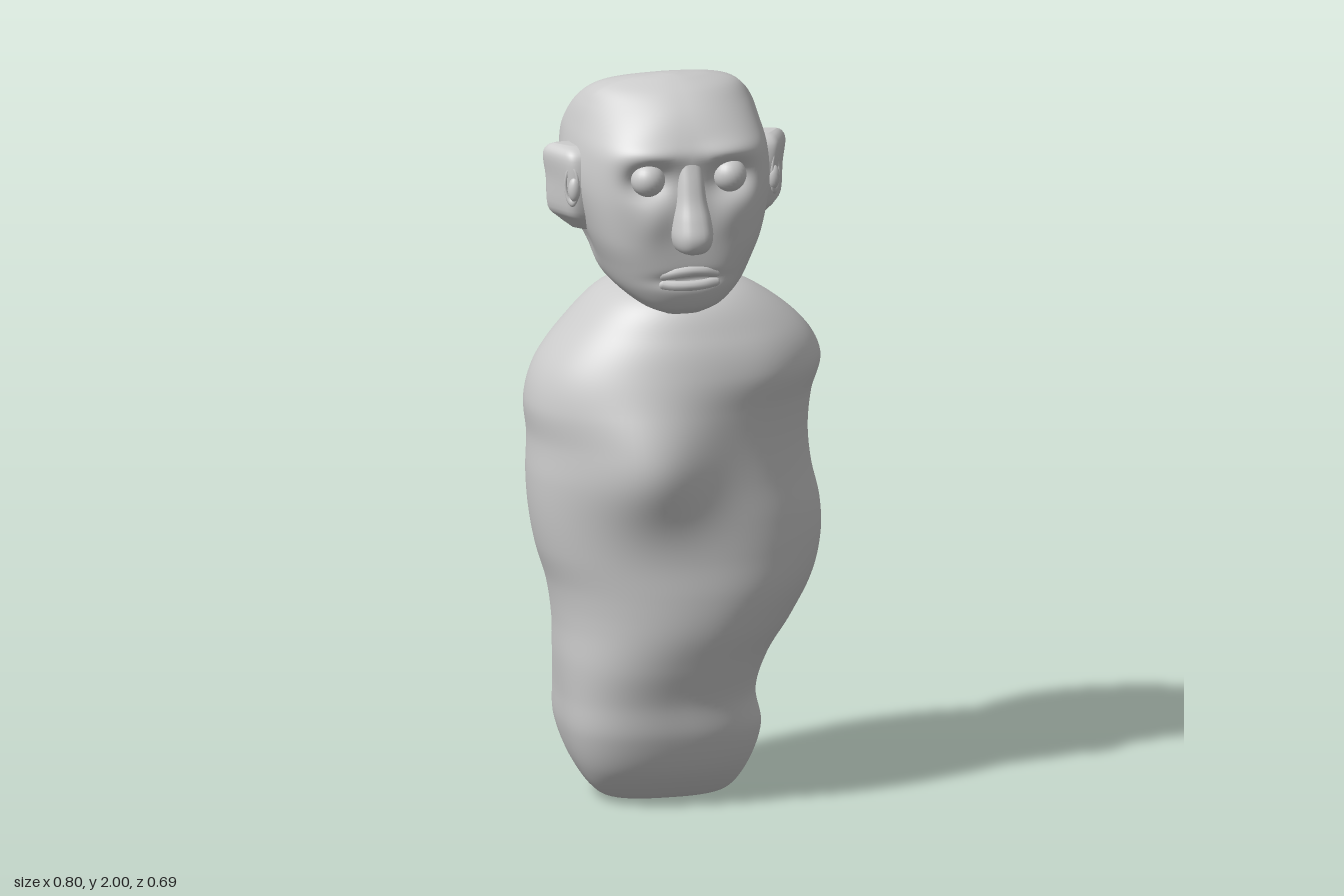
import * as THREE from 'three';

const CX = -0.03; // the head sits slightly off centre
const material = new THREE.MeshStandardMaterial({ color: 0xcccccc });

function mesh(name, geometry, parent) {
  const m = new THREE.Mesh(geometry, material);
  m.name = name;
  parent.add(m);
  return m;
}

// Smooth interpolation of all columns of a table of cross-sections
function sampleRows(rows, t) {
  const f = t * (rows.length - 1);
  const i = Math.min(Math.floor(f), rows.length - 2);
  const u = f - i;
  const at = (k) => rows[Math.max(0, Math.min(rows.length - 1, k))];
  return rows[i].map((b, c) => {
    const a = at(i - 1)[c], d = at(i + 1)[c], e = at(i + 2)[c];
    return b + 0.5 * u * (d - a + u * (2 * a - 5 * b + 4 * d - e + u * (3 * (b - d) + e - a)));
  });
}

// Closed skin over rings; ringPoint(row, cos, sin) gives one point of a ring
function loft(rows, steps, segments, ringPoint) {
  const pos = [], index = [];
  for (let i = 0; i <= steps; i++) {
    const row = sampleRows(rows, i / steps);
    for (let j = 0; j < segments; j++) {
      const a = (j / segments) * Math.PI * 2;
      pos.push(...ringPoint(row, Math.cos(a), Math.sin(a)));
    }
  }
  for (let i = 0; i < steps; i++) {
    for (let j = 0; j < segments; j++) {
      const a = i * segments + j, b = i * segments + ((j + 1) % segments);
      index.push(a, a + segments, b, b, a + segments, b + segments);
    }
  }
  // Cap both ends with a centre point
  for (const [ring, top] of [[0, false], [steps, true]]) {
    const c = [0, 0, 0], s = ring * segments;
    for (let j = 0; j < segments; j++) for (let k = 0; k < 3; k++) c[k] += pos[(s + j) * 3 + k] / segments;
    const ci = pos.length / 3;
    pos.push(...c);
    for (let j = 0; j < segments; j++) {
      const a = s + j, b = s + ((j + 1) % segments);
      if (top) index.push(a, ci, b); else index.push(a, b, ci);
    }
  }
  const g = new THREE.BufferGeometry();
  g.setAttribute('position', new THREE.Float32BufferAttribute(pos, 3));
  g.setIndex(index);
  g.computeVertexNormals();
  return g;
}

const power = (v, n) => Math.sign(v) * Math.abs(v) ** (2 / n);
const bump = (dx, dy, wx, wy) => Math.exp(-((dx / wx) ** 2) - (dy / wy) ** 2);
const { smoothstep } = THREE.MathUtils;

// Body: y, left x, right x, front z, back z
const bodyRows = [
  [0.005, -0.14, 0.08, 0.03, -0.06],
  [0.025, -0.21, 0.15, 0.08, -0.1],
  [0.1, -0.265, 0.2, 0.15, -0.17],
  [0.2, -0.3, 0.23, 0.19, -0.225],
  [0.3, -0.31, 0.215, 0.205, -0.235],
  [0.4, -0.32, 0.25, 0.235, -0.245],
  [0.5, -0.325, 0.32, 0.26, -0.265],
  [0.6, -0.34, 0.375, 0.268, -0.28],
  [0.7, -0.37, 0.4, 0.264, -0.295],
  [0.8, -0.388, 0.398, 0.262, -0.308],
  [0.9, -0.395, 0.375, 0.262, -0.315],
  [1.0, -0.392, 0.365, 0.262, -0.32],
  [1.1, -0.4, 0.375, 0.262, -0.325],
  [1.2, -0.372, 0.4, 0.258, -0.318],
  [1.3, -0.3, 0.34, 0.232, -0.28],
  [1.4, -0.2, 0.2, 0.17, -0.2],
  [1.45, -0.08, 0.04, 0.02, -0.08],
];
function bodyPoint([y, l, r, f, b], c, s) {
  // squarer toward the base, and fuller on the right than on the left
  const n = 2.07 - 0.13 * c + 0.6 * (1 - smoothstep(y, 0.2, 0.55));
  const zs = -0.03;
  const x = (l + r) / 2 + ((r - l) / 2) * power(c, n);
  let z = zs + (s > 0 ? f - zs : zs - b) * power(s, n);
  if (s > 0) {
    z += s * 0.072 * bump(x + 0.16, y - 0.96, 0.17, 0.16); // belly swelling
    z += s * 0.012 * bump(x - 0.22, y - 1.2, 0.12, 0.12); // shoulder
    z -= s * 0.01 * bump(x - 0.12, y - 1.0, 0.12, 0.18); // hollow beside the belly
  } else {
    z -= Math.sqrt(-s) * 0.13 * bump(x + 0.2, y - 0.21, 0.15, 0.13); // heel-like swelling
  }
  return [x, y, z];
}

// Head: y, half width, front z, back z, narrowing toward the front
const headRows = [
  [1.375, 0.05, 0.21, 0.13, 0],
  [1.4, 0.11, 0.24, 0.04, 0],
  [1.45, 0.17, 0.262, -0.13, 0],
  [1.52, 0.205, 0.268, -0.2, 0],
  [1.6, 0.235, 0.272, -0.245, 0],
  [1.7, 0.255, 0.276, -0.266, 0.02],
  [1.8, 0.257, 0.28, -0.274, 0.07],
  [1.86, 0.25, 0.262, -0.235, 0.15],
  [1.92, 0.228, 0.22, -0.165, 0.25],
  [1.965, 0.188, 0.165, -0.08, 0.35],
  [1.99, 0.11, 0.11, 0.0, 0.4],
  [2.0, 0.02, 0.075, 0.05, 0.3],
];
function headPoint([y, w, f, b, taper], c, s) {
  // boxy at the back and across the eyes, rounder at forehead and jaw
  const round = 1.2 * smoothstep(y, 1.8, 1.95) + 0.8 * (1 - smoothstep(y, 1.42, 1.58));
  const n = 3.6 - (s > 0 ? round : 0);
  const zs = (f + b) / 2, sn = power(s, n);
  let x = w * power(c, n) * (1 - taper * Math.max(0, sn));
  const ax = Math.abs(x);
  let z = zs + ((f - b) / 2) * sn;
  x += Math.sign(x) * 0.016 * bump(z, y - 1.74, 0.12, 0.09) * smoothstep(ax, 0.1, 0.2); // ear root
  x -= Math.sign(x) * 0.015 * bump(z + 0.05, y - 1.54, 0.08, 0.06) * smoothstep(ax, 0.1, 0.2); // hollow behind the jaw
  if (s > 0.2) {
    z -= 0.045 * bump(ax - 0.112, y - 1.755, 0.06, 0.045); // eye sockets
    z += 0.014 * bump(ax - 0.1, y - 1.825, 0.08, 0.03); // brow
    z += 0.01 * bump(ax - 0.1, y - 1.65, 0.05, 0.06); // cheeks
    z -= 0.015 * bump(ax, y - 1.48, 0.085, 0.018); // mouth hollow
  } else if (s < 0) {
    z += 0.015 * -s * Math.min(1, ax / 0.2); // ridge down the back
  }
  return [CX + x, y, z];
}

// Nose: y, half width, reach of the front
const noseRows = [
  [1.555, 0.015, 0.295],
  [1.57, 0.044, 0.335],
  [1.605, 0.056, 0.348],
  [1.65, 0.052, 0.334],
  [1.7, 0.042, 0.312],
  [1.76, 0.036, 0.294],
  [1.83, 0.03, 0.27],
];

// Ear: y, scale of the outward reach, front z, back z
const earRows = [
  [1.585, 0.45, 0.06, 0.02],
  [1.61, 0.7, 0.08, -0.008],
  [1.64, 0.9, 0.095, -0.018],
  [1.72, 0.94, 0.108, -0.02],
  [1.78, 1, 0.102, -0.02],
  [1.805, 0.92, 0.085, -0.015],
  [1.815, 0.78, 0.06, 0.0],
];
function earPoint([y, k, f, b], c, s) {
  // wedge in plan: widest at the back edge, folding in to the front
  const v = (power(s, 7) + 1) / 2;
  const reach = 0.144 - 0.06 * v;
  return [0.2 + (c > 0 ? reach * k * power(c, 7) : 0), y, b + (f - b) * v];
}

function addEar(side, parent) {
  const ear = new THREE.Group();
  ear.name = side > 0 ? 'leftEar' : 'rightEar';
  ear.position.x = CX;
  ear.scale.x = side;
  mesh('earShell', loft(earRows, 24, 48, earPoint), ear);
  // raised fold and inner lobe
  const fold = mesh('earFold', new THREE.TorusGeometry(0.034, 0.008, 10, 28), ear);
  fold.scale.set(0.55, 1.4, 0.8);
  fold.position.set(0.279, 1.715, 0.09);
  fold.rotation.y = 0.8;
  const lobe = mesh('innerEar', new THREE.SphereGeometry(0.028, 18, 14), ear);
  lobe.scale.set(0.6, 1.2, 0.6);
  lobe.position.set(0.274, 1.705, 0.096);
  parent.add(ear);
}

function addLip(name, y, bow, radius, parent) {
  const pts = [-1, -0.5, 0, 0.5, 1].map((t) =>
    new THREE.Vector3(CX + 0.072 * t, y + bow * (1 - t * t), 0.264 - 0.016 * t * t));
  mesh(name, new THREE.TubeGeometry(new THREE.CatmullRomCurve3(pts), 28, radius, 10), parent);
  for (const p of [pts[0], pts[4]]) mesh('lipCorner', new THREE.SphereGeometry(radius, 10, 8), parent).position.copy(p);
}

export function createModel() {
  const model = new THREE.Group();
  model.name = 'figure';

  mesh('body', loft(bodyRows, 128, 96, bodyPoint), model);

  const head = new THREE.Group();
  head.name = 'head';
  model.add(head);
  mesh('skull', loft(headRows, 110, 128, headPoint), head);
  mesh('nose', loft(noseRows, 30, 32, ([y, w, f], c, s) =>
    [CX + w * power(c, 2.6), y, s > 0 ? 0.25 + (f - 0.25) * power(s, 2.8) : 0.25 + 0.03 * s]), head);

  for (const side of [-1, 1]) {
    const eye = mesh(side > 0 ? 'leftEye' : 'rightEye', new THREE.SphereGeometry(0.046, 24, 18), head);
    eye.position.set(CX + side * 0.112, 1.757, 0.243);
    addEar(side, head);
  }

  addLip('upperLip', 1.494, 0.01, 0.015, head);
  addLip('lowerLip', 1.468, -0.004, 0.014, head);
  return model;
}
